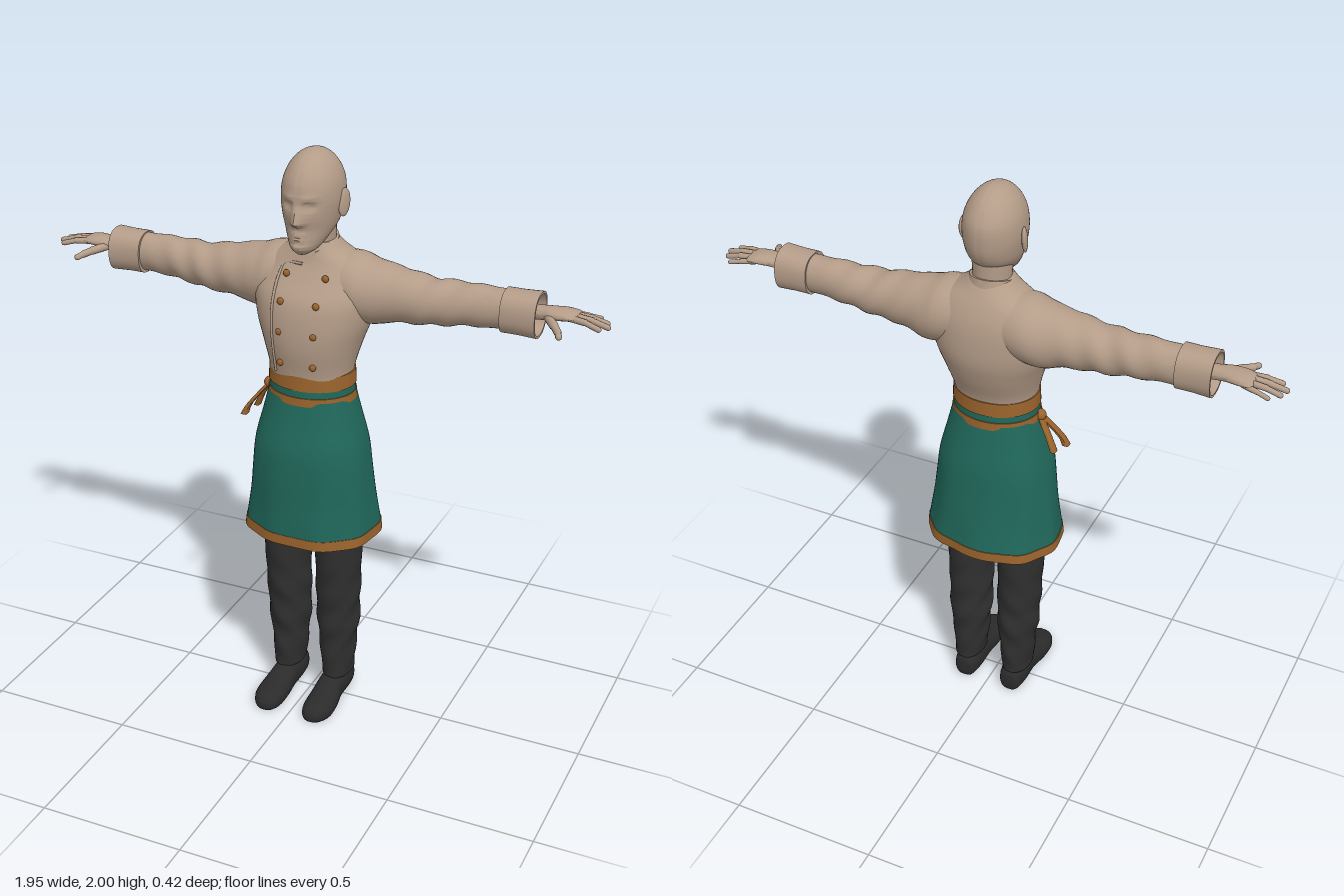
import * as THREE from 'three';
import { toCreasedNormals } from 'three/addons/utils/BufferGeometryUtils.js';

const paint = (name, color, double) => {
  const m = new THREE.MeshStandardMaterial({ color });
  m.name = name;
  if (double) m.side = THREE.DoubleSide;
  return m;
};

const cubic = (a, b, c, d, t) =>
  b + 0.5 * t * (c - a + t * (2 * a - 5 * b + 4 * c - d + t * (3 * (b - c) + d - a)));

// Skin of elliptic rings along an axis. Key: [position, centre1, centre2, radius1, radius2],
// where 1 and 2 are x,z (axis y), y,z (axis x) or x,y (axis z).
function loft(axis, keys, { n = 32, steps = 5, power = 2, open = false, shape } = {}) {
  const pos = [], idx = [], rows = [];
  const key = i => keys[Math.min(Math.max(i, 0), keys.length - 1)];
  for (let i = 0; i < keys.length - 1; i++)
    for (let s = 0; s < steps; s++)
      rows.push(key(i).map((_, k) => cubic(key(i - 1)[k], key(i)[k], key(i + 1)[k], key(i + 2)[k], s / steps)));
  rows.push(keys[keys.length - 1]);
  const put = (p, u, v, a) => {
    const q = axis === 'y' ? new THREE.Vector3(u, p, v)
      : axis === 'x' ? new THREE.Vector3(p, u, v) : new THREE.Vector3(u, v, p);
    if (shape) shape(q, a);
    pos.push(q.x, q.y, q.z);
  };
  const bend = c => Math.sign(c) * Math.abs(c) ** (2 / power);
  for (const [p, c1, c2, r1, r2] of rows)
    for (let j = 0; j < n; j++) {
      const a = (axis === 'y' ? -1 : 1) * j / n * Math.PI * 2;
      put(p, c1 + Math.max(r1, 0.001) * bend(Math.cos(a)), c2 + Math.max(r2, 0.001) * bend(Math.sin(a)), a);
    }
  for (let i = 0; i < rows.length - 1; i++)
    for (let j = 0; j < n; j++) {
      const a = i * n + j, b = i * n + (j + 1) % n;
      idx.push(a, b, b + n, a, b + n, a + n);
    }
  if (!open) {
    const first = rows.length * n, top = (rows.length - 1) * n;
    for (const r of [rows[0], rows[rows.length - 1]]) put(r[0], r[1], r[2], 0);
    for (let j = 0; j < n; j++) {
      const k = (j + 1) % n;
      idx.push(first, k, j, first + 1, top + j, top + k);
    }
  }
  const g = new THREE.BufferGeometry();
  g.setAttribute('position', new THREE.Float32BufferAttribute(pos, 3));
  g.setIndex(idx);
  return toCreasedNormals(g, 0.9);
}

const bump = (d, w) => Math.exp(-((d / w) ** 2));

export function createModel() {
  const model = new THREE.Group();
  const cloth = paint('skinAndJacket', 0xb49c88, true);
  const green = paint('apronGreen', 0x20675a, true);
  const brown = paint('trimBrown', 0x9a632c, true);
  const black = paint('trouserBlack', 0x2f2f30);
  const shoeMat = paint('shoeBlack', 0x2b2b2c);
  const add = (name, geo, mat, parent = model) => {
    const m = new THREE.Mesh(geo, mat);
    m.name = name;
    parent.add(m);
    return m;
  };

  // Head with brow, eye sockets, nose, lips and chin pressed into the front
  add('head', loft('y', [
    [1.68, 0, 0.055, 0.022, 0.035], [1.695, 0, 0.045, 0.043, 0.056], [1.72, 0, 0.025, 0.06, 0.08],
    [1.76, 0, -0.005, 0.08, 0.108], [1.8, 0, -0.014, 0.091, 0.124], [1.85, 0, -0.018, 0.098, 0.129],
    [1.9, 0, -0.02, 0.094, 0.125], [1.94, 0, -0.02, 0.08, 0.106], [1.97, 0, -0.02, 0.059, 0.08],
    [1.99, 0, -0.02, 0.034, 0.047], [2.0, 0, -0.02, 0.002, 0.003],
  ], {
    n: 72, steps: 8, shape: v => {
      if (v.z < 0.02) return;
      const x = Math.abs(v.x), y = v.y;
      const ridge = y > 1.788 ? Math.max(0, 1 - (y - 1.788) / 0.07) : Math.max(0, 1 - (1.788 - y) / 0.018);
      v.z += 0.032 * ridge * bump(x, 0.013 + 0.006 * ridge)
        - 0.014 * bump(x - 0.036, 0.019) * bump(y - 1.842, 0.014)
        + 0.006 * bump(x - 0.03, 0.03) * bump(y - 1.866, 0.01)
        + 0.006 * bump(x - 0.035, 0.01) * bump(y - 1.842, 0.005)
        + 0.009 * bump(x, 0.024) * (bump(y - 1.747, 0.006) + bump(y - 1.733, 0.006))
        + 0.012 * bump(x, 0.03) * bump(y - 1.706, 0.014);
    },
  }), cloth);
  add('neck', loft('y', [[1.58, 0, -0.05, 0.07, 0.07], [1.66, 0, -0.045, 0.062, 0.066],
    [1.76, 0, -0.04, 0.064, 0.072]]), cloth);

  // Jacket: body, standing collar, front edge and two rows of buttons
  add('jacketBody', loft('y', [
    [1.18, 0, -0.01, 0.14, 0.115], [1.27, 0, -0.008, 0.142, 0.122], [1.36, 0, -0.017, 0.165, 0.147],
    [1.44, 0, -0.028, 0.192, 0.158], [1.52, 0, -0.036, 0.205, 0.15], [1.58, 0, -0.05, 0.198, 0.126],
    [1.63, 0, -0.055, 0.165, 0.102], [1.67, 0, -0.05, 0.1, 0.085], [1.7, 0, -0.045, 0.068, 0.07],
  ], { n: 48, power: 2.15 }), cloth);
  add('collar', loft('y', [
    [1.62, 0, -0.045, 0.09, 0.088], [1.66, 0, -0.043, 0.078, 0.082],
    [1.695, 0, -0.04, 0.071, 0.08], [1.695, 0, -0.04, 0.063, 0.072], [1.65, 0, -0.04, 0.062, 0.07],
  ], {
    n: 48, steps: 1, open: true, shape: v => {
      v.y -= (v.z + 0.04) * 0.25;
      if (v.z > 0 && v.y > 1.64) v.y -= 0.035 * bump(v.x, 0.018);
    },
  }), cloth);
  const edge = new THREE.CatmullRomCurve3([[-0.085, 1.27, 0.094], [-0.086, 1.36, 0.112], [-0.09, 1.44, 0.115],
    [-0.09, 1.52, 0.102], [-0.088, 1.59, 0.06], [-0.075, 1.625, 0.036], [-0.01, 1.635, 0.05]]
    .map(p => new THREE.Vector3(...p)));
  add('jacketFrontEdge', new THREE.TubeGeometry(edge, 40, 0.005, 6), cloth);
  for (const [y, z, xl] of [[1.6, 0.062, 0.076], [1.52, 0.109, 0.064], [1.42, 0.122, 0.06], [1.31, 0.115, 0.056]])
    for (const x of [-0.06, xl])
      add('button', new THREE.SphereGeometry(0.012, 12, 8).scale(1, 1, 0.75), brown).position.set(x, y, z);

  // Waistband and wrapped apron
  const band = (name, mat, y0, y1, out) => add(name, loft('y', [
    [y0, 0, -0.01, 0.13, 0.11], [y0, 0, -0.01, 0.146 + out, 0.123 + out],
    [y1, 0, -0.01, 0.144 + out, 0.121 + out], [y1, 0, -0.01, 0.13, 0.11],
  ], { n: 48, steps: 1, open: true }), mat);
  band('waistbandTop', brown, 1.218, 1.268, 0.003);
  band('waistbandMiddle', green, 1.192, 1.22, 0.001);
  band('apronString', brown, 1.166, 1.194, 0.006);
  const folds = (v, a) => {
    const k = THREE.MathUtils.clamp((1.15 - v.y) / 0.5, 0, 1);
    const s = 1 + 0.016 * k * Math.sin(a * 9 + v.y * 5) + 0.012 * k * Math.sin(a * 4 - v.y * 14);
    v.x *= s;
    v.z *= s;
    if (v.y < 0.72) v.y -= v.z * 0.03;
  };
  add('apronSkirt', loft('y', [
    [0.69, 0, -0.02, 0.23, 0.183], [0.8, 0, -0.015, 0.216, 0.174], [0.9, 0, -0.01, 0.206, 0.169],
    [1.0, 0, -0.008, 0.193, 0.162], [1.1, 0, -0.01, 0.167, 0.14], [1.18, 0, -0.01, 0.147, 0.124],
  ], { n: 72, power: 2.25, open: true, shape: folds }), green);
  add('apronHem', loft('y', [[0.665, 0, -0.02, 0.229, 0.181], [0.665, 0, -0.02, 0.234, 0.186],
    [0.7, 0, -0.02, 0.231, 0.184], [0.7, 0, -0.02, 0.226, 0.179]],
  { n: 72, steps: 1, power: 2.25, open: true, shape: folds }), brown);

  // Tied apron string on the right hip
  const strap = pts => add('stringEnd', loft('y', pts, { n: 12, steps: 4, power: 4 }), brown);
  strap([[1.06, -0.232, 0.035, 0.012, 0.014], [1.1, -0.213, 0.028, 0.008, 0.013], [1.18, -0.15, 0.005, 0.008, 0.012]]);
  strap([[1.07, -0.215, -0.03, 0.01, 0.014], [1.12, -0.19, -0.02, 0.008, 0.013], [1.18, -0.15, 0, 0.008, 0.012]]);
  add('stringKnot', new THREE.SphereGeometry(0.02, 14, 10), brown).position.set(-0.152, 1.178, 0.002);

  add('trouserHips', loft('y', [[0.82, 0, -0.015, 0.14, 0.1], [0.95, 0, -0.015, 0.17, 0.13],
    [1.16, 0, -0.01, 0.135, 0.11]]), black);

  // Limbs, built on the left and mirrored
  for (const s of [1, -1]) {
    const side = new THREE.Group();
    side.name = s > 0 ? 'leftSide' : 'rightSide';
    side.scale.x = s;
    model.add(side);

    add('ear', new THREE.SphereGeometry(1, 16, 12).scale(0.01, 0.046, 0.026).rotateY(-0.35).rotateX(-0.15),
      cloth, side).position.set(0.101, 1.832, -0.026);

    add('sleeve', loft('x', [
      [0.05, 1.56, -0.06, 0.1, 0.1], [0.14, 1.55, -0.06, 0.112, 0.115], [0.2, 1.538, -0.06, 0.108, 0.106],
      [0.28, 1.54, -0.058, 0.092, 0.088], [0.4, 1.536, -0.056, 0.077, 0.076], [0.5, 1.543, -0.06, 0.071, 0.066],
      [0.6, 1.547, -0.06, 0.067, 0.056], [0.67, 1.547, -0.06, 0.065, 0.054],
    ], {
      n: 36, steps: 8, shape: (v, a) => {
        const k = 0.004 * bump(v.x - 0.42, 0.16) * Math.sin(v.x * 60 + a * 2);
        v.y += k * Math.cos(a);
        v.z += k * Math.sin(a);
      },
    }), cloth, side);
    add('cuff', loft('x', [
      [0.64, 1.547, -0.058, 0.058, 0.05], [0.637, 1.547, -0.058, 0.071, 0.065], [0.69, 1.547, -0.058, 0.071, 0.064],
      [0.752, 1.547, -0.058, 0.074, 0.067], [0.752, 1.547, -0.058, 0.066, 0.059], [0.7, 1.547, -0.058, 0.06, 0.053],
    ], { n: 36, steps: 1, power: 2.4 }), cloth, side);

    // Hand
    add('palm', loft('x', [
      [0.68, 1.55, -0.06, 0.026, 0.032], [0.75, 1.556, -0.06, 0.023, 0.029], [0.79, 1.56, -0.058, 0.021, 0.038],
      [0.83, 1.562, -0.062, 0.018, 0.044], [0.865, 1.56, -0.066, 0.013, 0.042], [0.875, 1.558, -0.067, 0.007, 0.034],
    ], { n: 24 }), cloth, side);
    const finger = (name, pts, r) => {
      for (let i = 0; i < pts.length - 1; i++) {
        const a = new THREE.Vector3(...pts[i]), b = new THREE.Vector3(...pts[i + 1]);
        const d = b.clone().sub(a);
        const m = add(name, new THREE.CapsuleGeometry(r * (1 - 0.13 * i), d.length(), 4, 10), cloth, side);
        m.position.copy(a).lerp(b, 0.5);
        m.quaternion.setFromUnitVectors(new THREE.Vector3(0, 1, 0), d.normalize());
      }
    };
    finger('indexFinger', [[0.85, 1.56, -0.037], [0.9, 1.557, -0.029], [0.945, 1.545, -0.02]], 0.0105);
    finger('middleFinger', [[0.86, 1.562, -0.056], [0.915, 1.557, -0.054], [0.967, 1.544, -0.05]], 0.0108);
    finger('ringFinger', [[0.855, 1.56, -0.078], [0.91, 1.556, -0.08], [0.957, 1.544, -0.082]], 0.0102);
    finger('littleFinger', [[0.845, 1.557, -0.096], [0.89, 1.552, -0.105], [0.928, 1.545, -0.114]], 0.009);
    finger('thumb', [[0.78, 1.553, -0.038], [0.815, 1.545, 0.008], [0.835, 1.538, 0.036], [0.845, 1.533, 0.058]], 0.014);

    // Trouser leg and shoe
    add('trouserLeg', loft('y', [
      [0.085, 0.094, -0.03, 0.052, 0.077], [0.18, 0.092, -0.03, 0.06, 0.08], [0.3, 0.093, -0.028, 0.072, 0.085],
      [0.42, 0.094, -0.022, 0.076, 0.088], [0.55, 0.096, -0.018, 0.078, 0.095], [0.7, 0.095, -0.015, 0.083, 0.102],
      [0.9, 0.088, -0.015, 0.088, 0.11],
    ], {
      n: 36, steps: 8, shape: (v, a) => {
        const k = 0.005 * bump(v.y - 0.3, 0.22) * Math.sin(v.y * 48 + a * 2);
        v.x += k * Math.cos(a);
        v.z -= k * Math.sin(a);
      },
    }), black, side);
    add('shoe', loft('z', [
      [-0.11, 0.09, 0.035, 0.012, 0.02], [-0.1, 0.09, 0.038, 0.036, 0.045], [-0.05, 0.09, 0.042, 0.047, 0.054],
      [0.03, 0.09, 0.038, 0.046, 0.052], [0.09, 0.093, 0.026, 0.052, 0.043], [0.15, 0.094, 0.02, 0.053, 0.037],
      [0.19, 0.092, 0.017, 0.042, 0.03], [0.21, 0.09, 0.014, 0.024, 0.017], [0.215, 0.09, 0.012, 0.006, 0.006],
    ], { n: 28, power: 2.3, shape: v => { v.y = Math.max(v.y, 0); } }), shoeMat, side);
  }
  return model;
}
